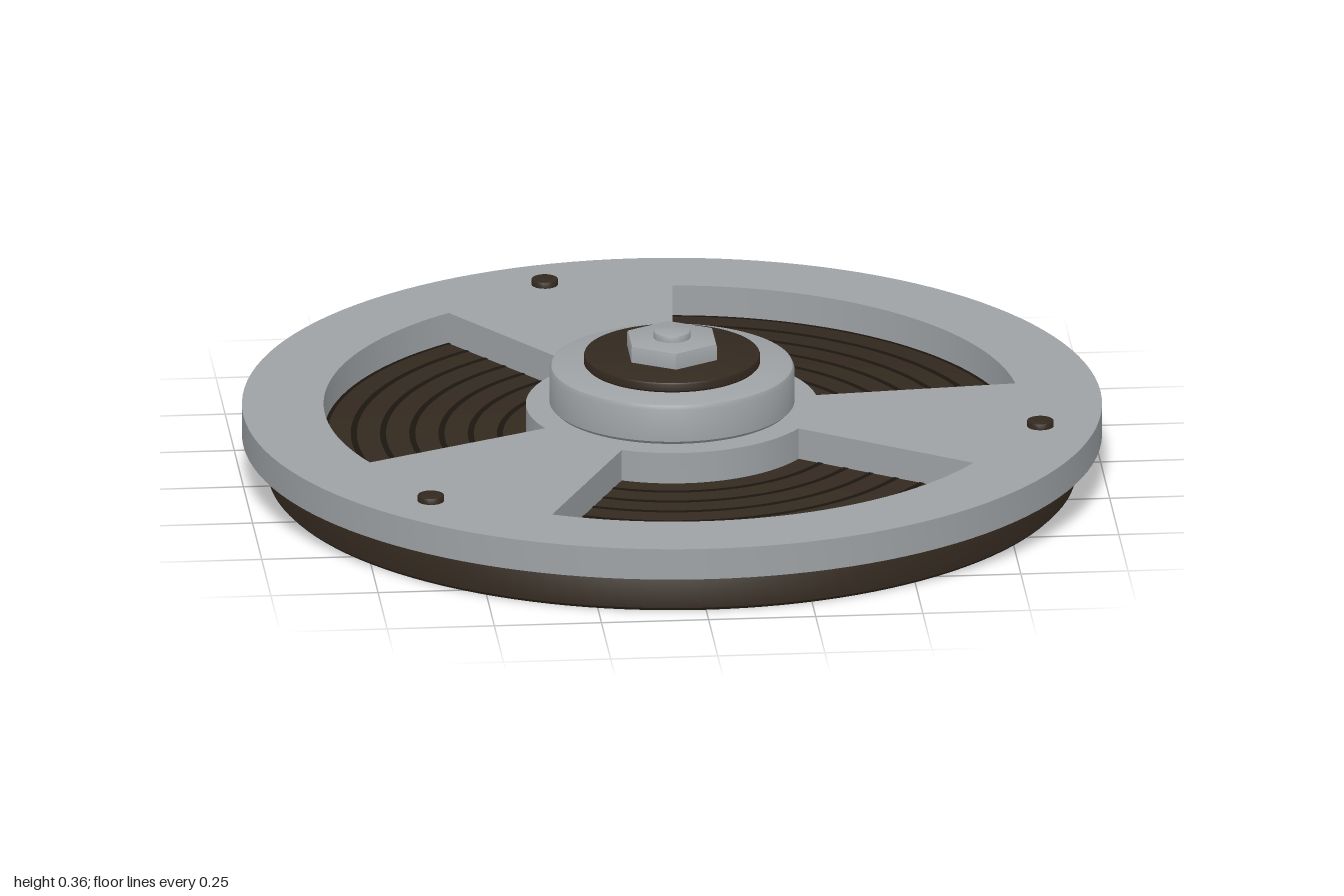
import * as THREE from 'three';
import { toCreasedNormals } from 'three/addons/utils/BufferGeometryUtils.js';

const rad = THREE.MathUtils.degToRad;

export function createModel() {
  const model = new THREE.Group();
  model.name = 'filmReel';

  const material = (name, color) => {
    const m = new THREE.MeshStandardMaterial({ color });
    m.name = name;
    return m;
  };
  const metal = material('greyMetal', 0x9ea2a5);
  const film = material('darkBrownFilm', 0x33291f);
  const groove = material('filmGroove', 0x1c1611);

  const add = (name, geometry, mat, x = 0, y = 0, z = 0) => {
    const mesh = new THREE.Mesh(geometry, mat);
    mesh.name = name;
    mesh.position.set(x, y, z);
    model.add(mesh);
    return mesh;
  };

  // Closed disc with small chamfers at its bottom and top edges
  const disc = (r, h, bottom, top, sides) => {
    const profile = [[0, 0], [r - bottom, 0]];
    if (bottom) profile.push([r, bottom]);
    profile.push([r, h - top]);
    if (top) profile.push([r - top * 0.3, h - top * 0.3], [r - top, h]);
    profile.push([0, h]);
    const g = new THREE.LatheGeometry(profile.map(p => new THREE.Vector2(...p)), sides);
    return toCreasedNormals(g, rad(28));
  };

  // Wound film
  add('filmRoll', disc(0.94, 0.1, 0.008, 0.006, 128), film);

  // Fine lines between the film windings
  for (let i = 0; i < 7; i++) {
    const r = 0.4 + i * 0.068;
    const ring = new THREE.RingGeometry(r - 0.007, r + 0.007, 128);
    ring.rotateX(-Math.PI / 2);
    add('windingLine', ring, groove, 0, 0.1015, 0);
  }

  // Flange with three sector windows
  const flange = new THREE.Shape();
  flange.absarc(0, 0, 1, 0, Math.PI * 2, false);
  for (let i = 0; i < 3; i++) {
    const a = rad(5 + 120 * i), b = rad(85 + 120 * i);
    const window = new THREE.Path();
    window.absarc(0, 0, 0.81, a, b, false);
    window.absarc(0, 0, 0.34, b, a, true);
    window.closePath();
    flange.holes.push(window);
  }
  const plate = new THREE.ExtrudeGeometry(flange, { depth: 0.075, bevelEnabled: false, curveSegments: 64 });
  plate.rotateX(-Math.PI / 2);
  add('flange', toCreasedNormals(plate, rad(28)), metal, 0, 0.1, 0);

  // Dark rivets near the rim, one on each spoke
  for (let i = 0; i < 3; i++) {
    const a = rad(105 + 120 * i);
    add('rivet', disc(0.031, 0.015, 0, 0.003, 24), film, 0.87 * Math.cos(a), 0.175, -0.87 * Math.sin(a));
  }

  // Central hub, washer, hexagonal nut and bolt end
  add('hub', disc(0.285, 0.1, 0.008, 0.014, 96), metal, 0, 0.175, 0);
  add('washer', disc(0.205, 0.025, 0.004, 0.005, 64), film, 0, 0.275, 0);
  add('hexNut', disc(0.115, 0.04, 0, 0.006, 6), metal, 0, 0.3, 0);
  add('boltEnd', disc(0.043, 0.017, 0, 0.003, 32), metal, 0, 0.339, 0);

  return model;
}
